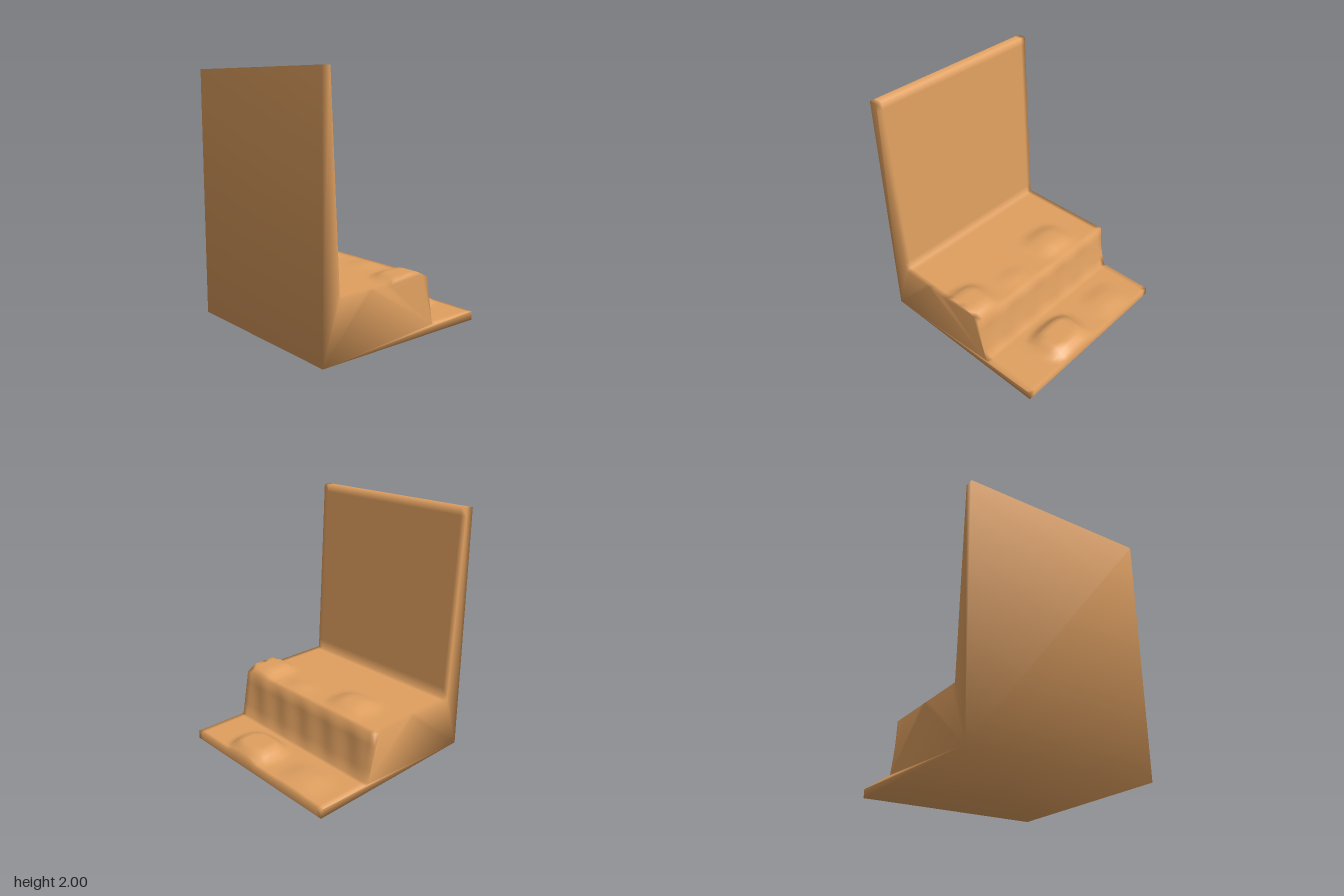
import * as THREE from 'three';

const HALF = 0.77;
// Upper outline in [z, y, segments to the next point], from the wall top to the rear toe
const OUTLINE = [
  [0.77, 2, 1], [0.70, 2, 1], [0.697, 1.94, 1], [0.625, 0.54, 1],
  [0.62, 0.46, 18], [-0.23, 0.46, 4], [-0.30, 0.07, 14], [-0.77, 0.07, 1], [-0.77, 0, 0],
];
// Low mounds: x, z, radius x, radius z, height, share of the radius that slopes
const SHELF_MOUNDS = [
  [0.68, -0.04, 0.21, 0.19, 0.05, 0.4],
  [-0.32, 0, 0.22, 0.19, 0.045, 0.6],
  [0.22, -0.09, 0.15, 0.11, 0.015, 0.7],
];
const BASE_MOUNDS = [
  [0.19, -0.575, 0.25, 0.195, 0.07, 0.4],
  [-0.4, -0.59, 0.22, 0.18, 0.025, 0.7],
];

function moundHeight(mounds, x, z) {
  let h = 0;
  for (const [cx, cz, rx, rz, height, slope] of mounds) {
    const r = Math.pow(Math.pow(Math.abs((x - cx) / rx), 3) + Math.pow(Math.abs((z - cz) / rz), 3), 1 / 3);
    h = Math.max(h, height * THREE.MathUtils.clamp((1 - r) / slope, 0, 1));
  }
  return h;
}

function terraceGeometry() {
  // Subdivided outline rows; part tells which stretch a row belongs to
  const rows = [];
  OUTLINE.forEach(([z, y, n], part) => {
    const next = OUTLINE[part + 1];
    for (let k = 0; k < n; k++) {
      rows.push({ z: z + (next[0] - z) * k / n, y: y + (next[1] - y) * k / n, part, t: k / n });
    }
  });
  rows.push({ z: -HALF, y: 0, part: 8, t: 0 });

  const columns = 32, pos = [], idx = [];
  const at = (i, j) => i * (columns + 1) + j;
  for (const { z, y, part, t } of rows) {
    for (let j = 0; j <= columns; j++) {
      const x = -HALF + 2 * HALF * j / columns;
      let py = y, pz = z;
      if (part === 4) py += moundHeight(SHELF_MOUNDS, x, z);
      if (part === 6) py += moundHeight(BASE_MOUNDS, x, z);
      // Slight fluting of the step face
      if (part === 5) pz += 0.008 * Math.sin(Math.PI * t) * (1 + Math.sin(x * 22));
      pos.push(x, py, pz);
    }
  }
  // Upper surfaces
  for (let i = 0; i < rows.length - 1; i++) {
    for (let j = 0; j < columns; j++) {
      const a = at(i, j), b = at(i, j + 1), c = at(i + 1, j), d = at(i + 1, j + 1);
      idx.push(a, b, c, b, d, c);
    }
  }
  // Front and underside
  const last = rows.length - 1;
  const fl = pos.length / 3, fr = fl + 1;
  pos.push(-HALF, 0, HALF, HALF, 0, HALF);
  idx.push(fl, fr, at(0, columns), fl, at(0, columns), at(0, 0));
  idx.push(fl, at(last, 0), at(last, columns), fl, at(last, columns), fr);

  // Side ends
  for (const [j, corner, sign] of [[0, fl, -1], [columns, fr, 1]]) {
    const loop = rows.map((_, i) => at(i, j));
    loop.push(corner);
    const flat = loop.map((v) => new THREE.Vector2(pos[v * 3 + 1], pos[v * 3 + 2]));
    for (const [a, b, c] of THREE.ShapeUtils.triangulateShape(flat.slice(), [])) {
      const area = THREE.ShapeUtils.area([flat[a], flat[b], flat[c]]);
      if (area * sign > 0) idx.push(loop[a], loop[b], loop[c]);
      else idx.push(loop[a], loop[c], loop[b]);
    }
  }

  const geo = new THREE.BufferGeometry();
  geo.setAttribute('position', new THREE.Float32BufferAttribute(pos, 3));
  geo.setIndex(idx);
  geo.computeVertexNormals();
  return geo;
}

export function createModel() {
  const group = new THREE.Group();
  group.name = 'steppedWall';
  const mesh = new THREE.Mesh(terraceGeometry(), new THREE.MeshStandardMaterial({ color: 0xe0a060 }));
  mesh.name = 'wallWithTerraces';
  group.add(mesh);
  return group;
}
